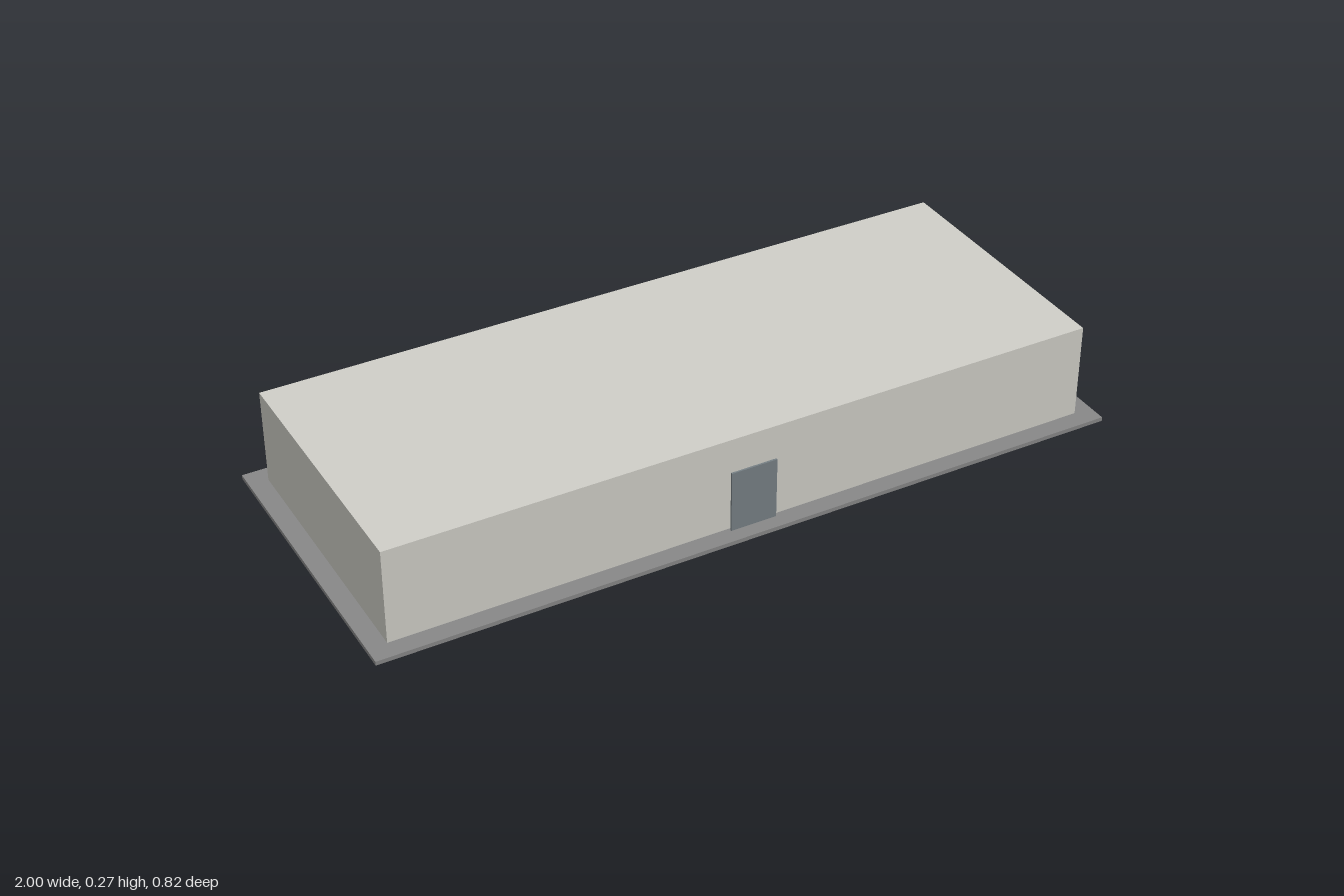
import * as THREE from 'three';

// Box given by its size, the height of its underside and its z centre
function block(name, color, [w, h, d], bottom, z = 0) {
  const mesh = new THREE.Mesh(
    new THREE.BoxGeometry(w, h, d),
    new THREE.MeshStandardMaterial({ color })
  );
  mesh.name = name;
  mesh.position.set(0, bottom + h / 2, z);
  return mesh;
}

export function createModel() {
  const group = new THREE.Group();
  group.name = 'building';

  const slabTop = 0.011;
  // Thin ground slab with an even margin around the hall
  group.add(block('foundationSlab', 0x888888, [2, slabTop, 0.818], 0));
  // Plain flat-roofed hall
  group.add(block('hall', 0xd0cfc8, [1.9, 0.256, 0.72], slabTop));
  // Door panel standing just clear of the front wall
  group.add(block('door', 0x778085, [0.124, 0.167, 0.005], slabTop, 0.3685));

  return group;
}
